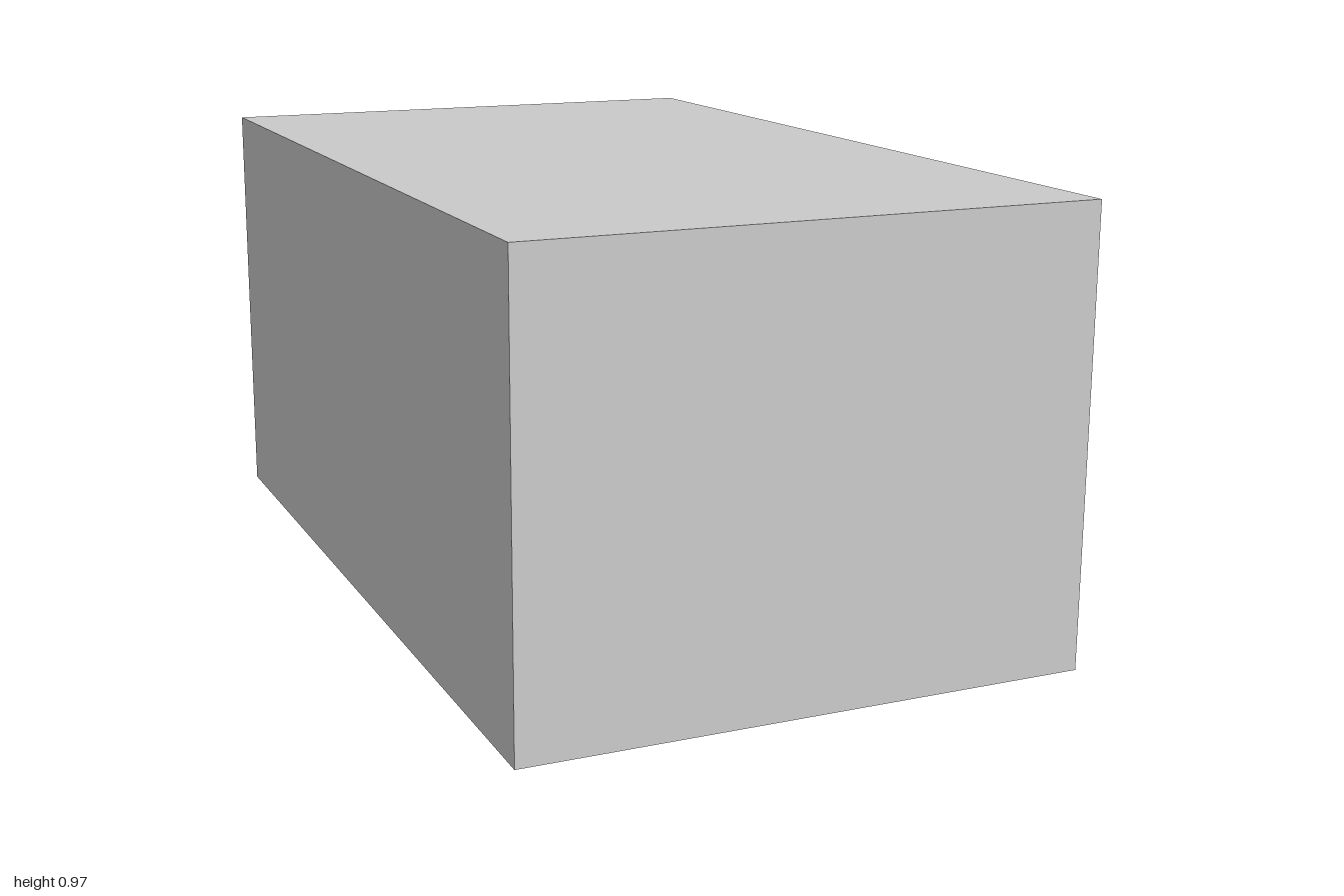
import * as THREE from 'three';

const LEFT = 0.6, RIGHT = -0.617, HEIGHT = 0.968, DEPTH = 2;
const DOOR_W = 0.16, DOOR_H = 0.32, FRAME_D = 0.017;

export function createModel() {
  const group = new THREE.Group();
  const material = new THREE.MeshStandardMaterial({ color: 0xcccccc, side: THREE.DoubleSide });

  const add = (name, geometry, [x, y, z], [rx, ry] = [0, 0]) => {
    const mesh = new THREE.Mesh(geometry, material);
    mesh.name = name;
    mesh.position.set(x, y, z);
    mesh.rotation.set(rx, ry, 0);
    group.add(mesh);
  };
  const sheet = (w, h) => new THREE.PlaneGeometry(w, h);

  const width = LEFT - RIGHT, midX = (LEFT + RIGHT) / 2, midY = HEIGHT / 2;

  // Thin shell: roof and three plain walls, open underneath
  add('roof', sheet(width, DEPTH), [midX, HEIGHT, 0], [-Math.PI / 2, 0]);
  add('frontWall', sheet(width, HEIGHT), [midX, midY, DEPTH / 2]);
  add('backWall', sheet(width, HEIGHT), [midX, midY, -DEPTH / 2], [0, Math.PI]);
  add('rightWall', sheet(DEPTH, HEIGHT), [RIGHT, midY, 0], [0, -Math.PI / 2]);

  // Wall with the doorway cut up from the ground
  const d = DEPTH / 2, w = DOOR_W / 2;
  const outline = [[-d, 0], [-w, 0], [-w, DOOR_H], [w, DOOR_H], [w, 0], [d, 0], [d, HEIGHT], [-d, HEIGHT]];
  const doorWall = new THREE.Shape(outline.map(([a, b]) => new THREE.Vector2(a, b)));
  add('doorWall', new THREE.ShapeGeometry(doorWall), [LEFT, 0, 0], [0, Math.PI / 2]);

  // Thin door surround standing out from the wall
  const frameX = LEFT + FRAME_D / 2;
  for (const side of [-1, 1]) {
    add(side > 0 ? 'frontDoorJamb' : 'backDoorJamb', sheet(FRAME_D, DOOR_H),
      [frameX, DOOR_H / 2, side * w], [0, side > 0 ? 0 : Math.PI]);
  }
  add('doorLintel', sheet(FRAME_D, DOOR_W), [frameX, DOOR_H, 0], [-Math.PI / 2, 0]);
  add('doorSill', sheet(FRAME_D, DOOR_W), [frameX, 0, 0], [-Math.PI / 2, 0]);

  // Floor slab, slightly raised and clear of the walls
  add('floor', new THREE.BoxGeometry(1.153, 0.02, 1.93), [0.006, 0.02, 0]);

  return group;
}
